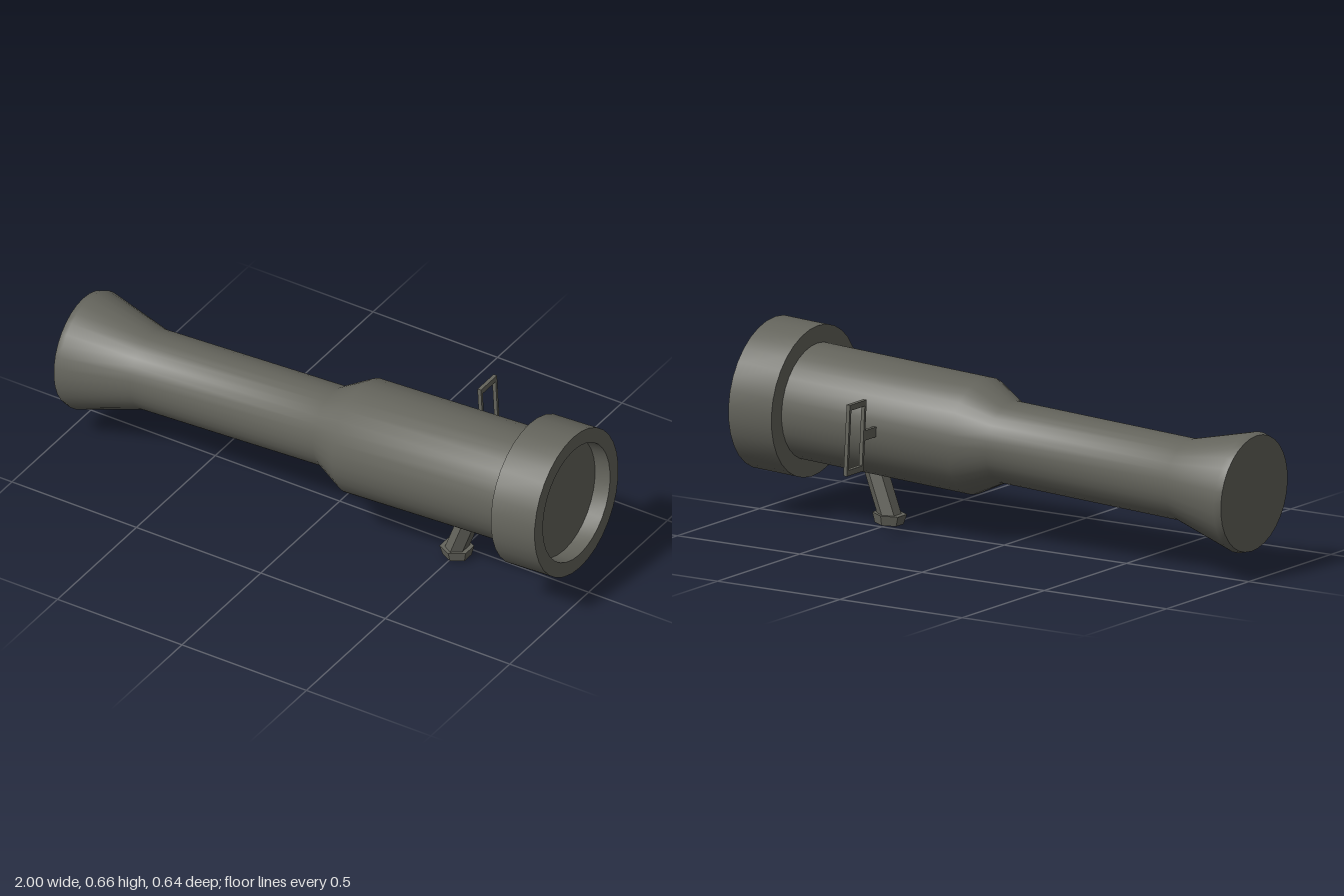
import * as THREE from 'three';
import { toCreasedNormals } from 'three/addons/utils/BufferGeometryUtils.js';

export function createModel() {
  const model = new THREE.Group();
  model.name = 'launcher';
  const metal = new THREE.MeshStandardMaterial({ name: 'olive grey', color: 0x64645c });

  // Everything hangs on the tube axis (local x), pitched slightly upward
  const tilted = new THREE.Group();
  tilted.name = 'tiltedAssembly';
  tilted.position.set(0, 0.3465, 0.053);
  tilted.rotation.z = THREE.MathUtils.degToRad(3);
  model.add(tilted);

  const add = (name, geometry, x = 0, y = 0, z = 0) => {
    const mesh = new THREE.Mesh(geometry, metal);
    mesh.name = name;
    mesh.position.set(x, y, z);
    tilted.add(mesh);
    return mesh;
  };

  // Turned parts: [radius, distance along the axis], from rear to muzzle
  const turned = (points) => toCreasedNormals(
    new THREE.LatheGeometry(points.map(([r, s]) => new THREE.Vector2(r, s)), 32).rotateZ(-Math.PI / 2), 0.6);

  // Tube with flared tail, narrow neck and wider barrel
  add('tube', turned([
    [0, -0.988], [0.203, -0.988], [0.21, -0.963], [0.1425, -0.72],
    [0.1425, 0.015], [0.203, 0.13], [0.203, 0.81],
  ]));

  // Muzzle collar with a shallow recess
  add('muzzleCollar', turned([
    [0.2, 0.81], [0.265, 0.81], [0.265, 0.986],
    [0.2125, 0.986], [0.2125, 0.926], [0, 0.926],
  ]));

  // Grip: six-sided post sheared so that it leans towards the muzzle
  const lean = 0.43;
  const post = new THREE.CylinderGeometry(0.045, 0.045, 0.2, 6).scale(0.9, 1, 1);
  post.applyMatrix4(new THREE.Matrix4().makeShear(0, 0, lean, 0, 0, 0));
  post.computeVertexNormals();
  add('gripPost', toCreasedNormals(post, 0.6), 0.53, -0.24, 0);

  // Tapered foot of the grip
  const foot = new THREE.CylinderGeometry(0.055, 0.046, 0.035, 6).scale(1.1, 1, 1);
  add('gripFoot', toCreasedNormals(foot, 0.6), 0.487, -0.353, 0);

  // Rectangular sight frame beside the barrel, on its right
  const rectangle = (Path, w, h) => new Path([
    new THREE.Vector2(-w / 2, -h / 2), new THREE.Vector2(w / 2, -h / 2),
    new THREE.Vector2(w / 2, h / 2), new THREE.Vector2(-w / 2, h / 2),
  ]);
  const outline = rectangle(THREE.Shape, 0.102, 0.25);
  outline.holes.push(rectangle(THREE.Path, 0.082, 0.21));
  const frame = new THREE.ExtrudeGeometry(outline, { depth: 0.014, bevelEnabled: false });
  frame.translate(0, 0, -0.007).rotateY(Math.PI / 2);
  add('sightFrame', frame, 0.43, 0, -0.321);

  // Bracket joining the frame to the barrel
  add('sightBracket', new THREE.BoxGeometry(0.012, 0.035, 0.085), 0.43, -0.001, -0.232);

  return model;
}
